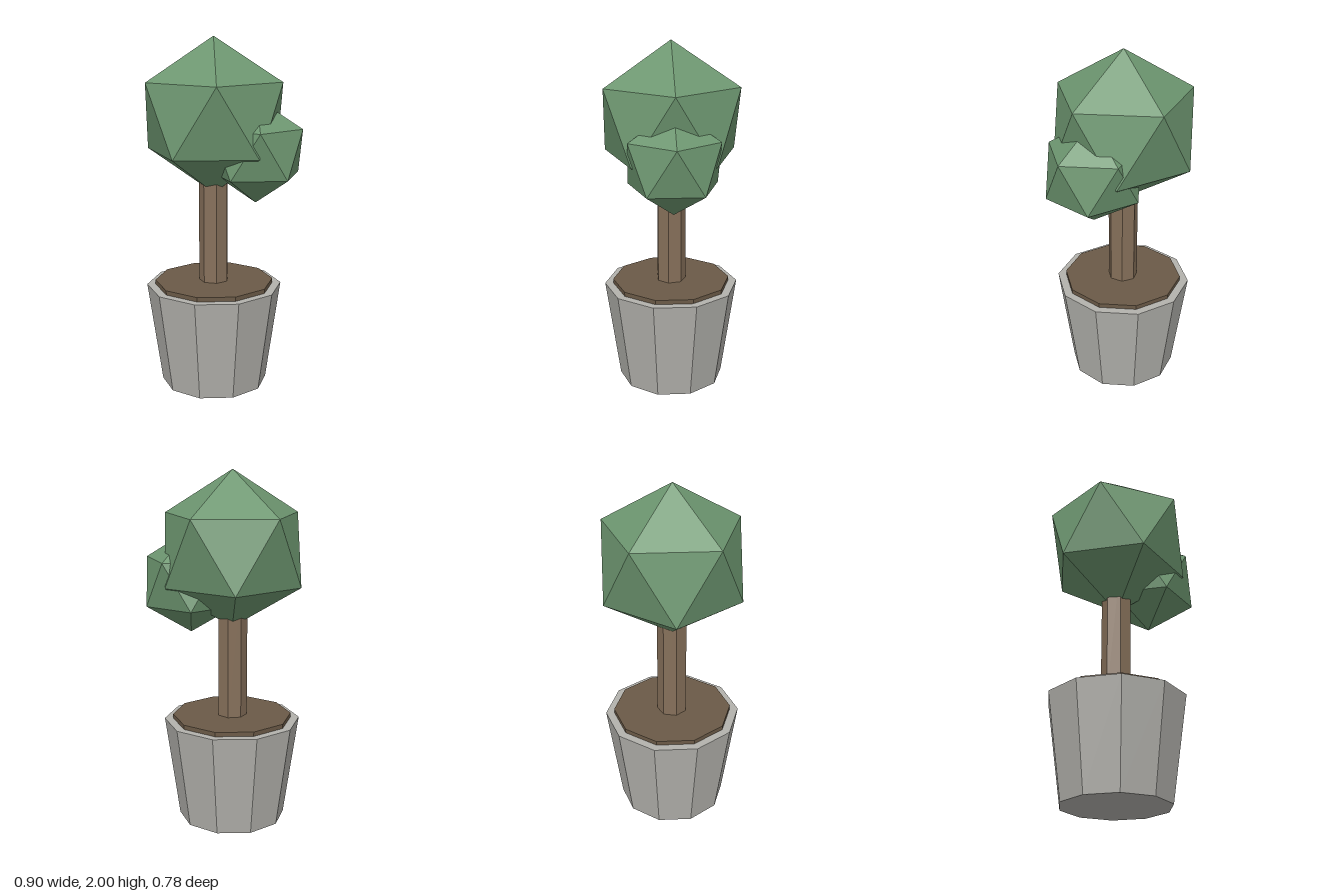
import * as THREE from 'three';

const AXIS_X = -0.058; // the pot, trunk and crown share this axis

const material = (color) => new THREE.MeshStandardMaterial({ color, flatShading: true });

export function createModel() {
  const model = new THREE.Group();
  model.name = 'pottedTree';

  const stone = material(0xb3b2ad);
  const earth = material(0x6b5a47);
  const bark = material(0x86705a);
  const leaf = material(0x6d9670);

  function add(name, geometry, mat, x, y) {
    const mesh = new THREE.Mesh(geometry, mat);
    mesh.name = name;
    mesh.position.set(x, y, 0);
    model.add(mesh);
    return mesh;
  }

  // Upright faceted column from y0 to y1
  function column(name, rTop, rBottom, y0, y1, sides, mat) {
    const geometry = new THREE.CylinderGeometry(rTop, rBottom, y1 - y0, sides);
    return add(name, geometry, mat, AXIS_X, (y0 + y1) / 2);
  }

  // Icosahedron standing on a point, with an upper-ring corner towards +x
  function foliage(name, radius, x, y) {
    const geometry = new THREE.IcosahedronGeometry(radius, 0);
    geometry.rotateZ(-Math.atan(2 / (1 + Math.sqrt(5))));
    return add(name, geometry, leaf, x, y);
  }

  // Tapered ten-sided pot with a raised disc of soil
  column('pot', 0.388, 0.305, 0, 0.588, 10, stone);
  column('soil', 0.34, 0.34, 0.55, 0.613, 10, earth);

  // Seven-sided trunk, its odd corner pointing back
  column('trunk', 0.085, 0.085, 0.6, 1.4, 7, bark).rotation.y = Math.PI;

  // Crown and the smaller clump on its left
  foliage('crown', 0.437, AXIS_X, 1.563);
  foliage('sideFoliage', 0.292, 0.185, 1.377);

  return model;
}
